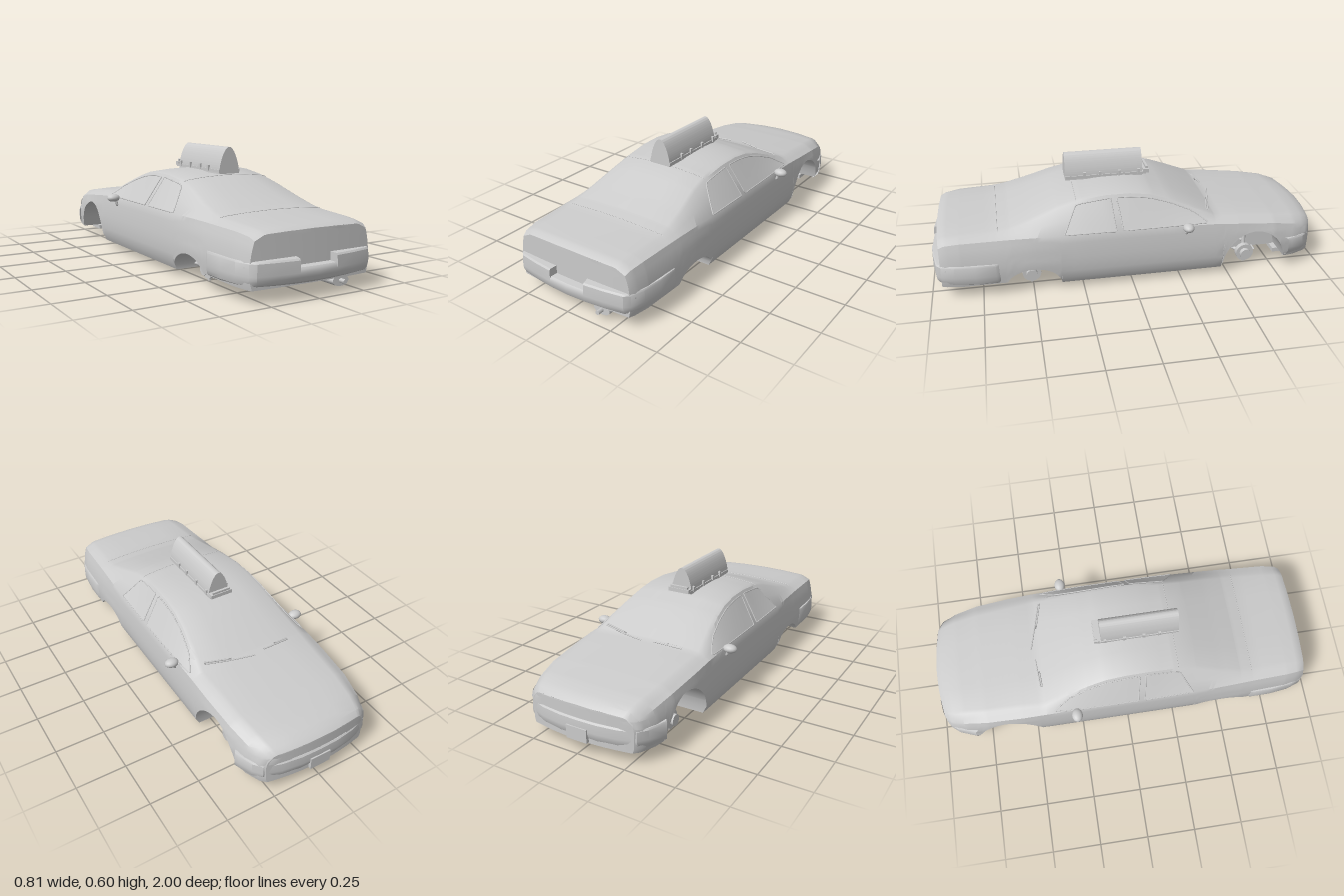
import * as THREE from 'three';
import { toCreasedNormals } from 'three/addons/utils/BufferGeometryUtils.js';

const grey = new THREE.MeshStandardMaterial({ color: 0xcccccc, side: THREE.DoubleSide });
const V = (x, y, z) => new THREE.Vector3(x, y, z);
const lerp = THREE.MathUtils.lerp;

// body stations: z, side half-width, belt x, belt y, roof-edge x, roof-edge y, top y
const stations = [
  [-0.955, .275, .265, .2, .24, .225, .24], [-0.93, .3, .285, .218, .25, .247, .26],
  [-0.86, .33, .31, .24, .265, .272, .282], [-0.74, .35, .33, .265, .28, .291, .3],
  [-0.55, .356, .34, .285, .29, .31, .322], [-0.43, .358, .342, .296, .3, .318, .335],
  [-0.3, .358, .343, .3, .277, .376, .396], [-0.2, .358, .343, .302, .26, .417, .438],
  [-0.1, .358, .343, .303, .25, .447, .468], [0, .358, .343, .303, .247, .46, .48],
  [0.12, .358, .343, .303, .245, .459, .478], [0.25, .358, .342, .303, .242, .442, .464],
  [0.36, .358, .34, .303, .25, .412, .437], [0.5, .358, .335, .303, .27, .362, .385],
  [0.6, .357, .33, .302, .28, .332, .35], [0.67, .355, .326, .3, .28, .32, .335],
  [0.85, .347, .318, .295, .27, .312, .322], [0.92, .333, .308, .285, .265, .304, .315],
  [0.945, .322, .3, .27, .255, .292, .3]];

function station(z) {
  let i = 0;
  while (i < stations.length - 2 && stations[i + 1][0] < z) i++;
  const a = stations[i], b = stations[i + 1];
  const t = THREE.MathUtils.clamp((z - a[0]) / (b[0] - a[0]), 0, 1);
  return a.map((v, k) => lerp(v, b[k], t));
}

// half-width of the body side at a height
function sideX(z, y) {
  const [, w, bx, by, ex, ey] = station(z);
  const p = [[w * .92, .035], [w * .985, .08], [w, .16], [lerp(w, bx, .4), lerp(.16, by, .6)], [bx, by], [ex, ey]];
  for (let i = 0; i < 5; i++) {
    if (y <= p[i + 1][1]) return lerp(p[i][0], p[i + 1][0], Math.max(0, (y - p[i][1]) / (p[i + 1][1] - p[i][1])));
  }
  return ex;
}

// lower edge of the body, raised over the wheels
const arches = [{ z: .5, r: .14, top: .14 }, { z: -.635, r: .17, top: .235 }];
function bottomY(z) {
  let y = z > .55 ? lerp(.08, .065, (z - .55) / .4) : z < -.7 ? .065 : .037;
  for (const a of arches) {
    const d = (z - a.z) / a.r;
    if (Math.abs(d) < 1) y = Math.max(y, .04 + (a.top - .04) * Math.sqrt(1 - d * d));
  }
  return y;
}

// bowed ends
function endZ(x, z) {
  const t = THREE.MathUtils.smoothstep(Math.abs(z), .75, .95);
  return z + Math.sign(z) * (z < 0 ? .03 : .012) * t * (1 - (x / station(z)[1]) ** 2);
}

function grid(rows) {
  const pos = [], idx = [], n = rows[0].length;
  rows.forEach(r => r.forEach(p => pos.push(p.x, p.y, p.z)));
  for (let i = 0; i < rows.length - 1; i++) for (let j = 0; j < n - 1; j++) {
    const a = i * n + j, b = a + n;
    idx.push(a, b, a + 1, b, b + 1, a + 1);
  }
  const g = new THREE.BufferGeometry();
  g.setAttribute('position', new THREE.Float32BufferAttribute(pos, 3));
  g.setIndex(idx);
  return toCreasedNormals(g, .55);
}

function halfSection(z) {
  const [, , bx, by, ex, ey, ty] = station(z), pts = [], y0 = bottomY(z);
  for (let j = 0; j <= 7; j++) {
    const y = lerp(y0, by, j / 7);
    pts.push([sideX(z, y), y]);
  }
  pts.push([lerp(bx, ex, .5), lerp(by, ey, .5)], [ex, ey], [ex * .93, lerp(ey, ty, .35)],
    [ex * .5, lerp(ey, ty, .8)], [0, ty]);
  return pts.map(([x, y]) => V(x, y, endZ(x, z)));
}
const flip = p => V(-p.x, p.y, p.z);

export function createModel() {
  const car = new THREE.Group();
  car.name = 'car';
  const add = (name, geo, x = 0, y = 0, z = 0) => {
    const m = new THREE.Mesh(geo, grey);
    m.name = name;
    m.position.set(x, y, z);
    car.add(m);
    return m;
  };
  const box = (name, w, h, d, x, y, z) => add(name, new THREE.BoxGeometry(w, h, d), x, y, z);
  const tube = (name, pts, r, seg = 24, closed = false) => add(name, new THREE.TubeGeometry(
    new THREE.CatmullRomCurve3(pts, closed, 'catmullrom', .2), seg, r, 8, closed));
  const disc = (name, r, w, x, y, z) => {
    const m = add(name, new THREE.CylinderGeometry(r, r, w, 20), x, y, z);
    m.rotation.z = Math.PI / 2;
  };

  // body shell, closed along the underside
  const zs = stations.map(s => s[0]);
  for (let z = -.9; z < .93; z += .06) zs.push(z);
  for (const a of arches) for (let k = 0; k <= 16; k++) zs.push(a.z - a.r * Math.cos(k / 16 * Math.PI));
  zs.sort((a, b) => a - b);
  const shell = zs.filter((z, i) => i === 0 || z - zs[i - 1] > 1e-4).map(z => {
    const h = halfSection(z), ring = [...h, ...h.slice(0, -1).reverse().map(flip)];
    return [...ring, h[0].clone()];
  });
  add('bodyShell', grid(shell));

  // nose and tail panels
  for (const [name, z] of [['nosePanel', -.955], ['tailPanel', .945]]) {
    add(name, grid(halfSection(z).map(p => Array.from({ length: 13 }, (_, k) => {
      const x = p.x * (k / 6 - 1);
      return V(x, p.y, endZ(x, z));
    }))));
  }

  // bumpers: an upright profile carried around a plan outline
  function bumper(name, plan, cz, y0, y1, notch) {
    const half = plan.map(([x, z]) => [x, z, y1]);
    if (notch) {
      const i = half.findIndex(p => p[0] === .1);
      half.splice(i + 1, 0, [.1, half[i][1], notch]);
      half[half.length - 1][2] = notch;
    }
    const all = [...half, ...half.slice(0, -1).reverse().map(([x, z, t]) => [-x, z, t])];
    add(name, grid(all.map(([x, z, t]) => [[.08, y0 - .018], [.02, y0], [.004, y0 + .02], [0, y0 + .04],
      [.004, t - .008], [.014, t], [.09, t + .004]].map(([s, y]) => V(x * (1 - s), y, lerp(z, cz, s))))));
  }
  bumper('rearBumper', [[.352, .66], [.361, .68], [.36, .78], [.348, .88], [.325, .945], [.3, .968], [.2, .985],
    [.1, .996], [0, 1]], .4, .085, .186, .147);
  bumper('frontBumper', [[.352, -.82], [.345, -.84], [.318, -.91], [.285, -.95], [.2, -.978],
    [.1, -.992], [0, -.995]], -.4, .085, .176);
  box('frontPlate', .11, .065, .06, 0, .103, -.97);
  box('frontUndertray', .48, .022, .11, 0, .052, -.835);
  box('rearValance', .6, .025, .2, 0, .075, .83);

  // rear window edge across the base and roof
  for (const z of [.66, .27]) {
    const h = halfSection(z).slice(9).map(p => p.add(V(0, .0005, 0)));
    tube('rearWindowSeal', [...h, ...h.slice(0, -1).reverse().map(flip)], .0015, 30);
  }

  for (const s of [1, -1]) {
    const side = s > 0 ? 'left' : 'right';
    // door windows and their seals: [bottom z, top z] at each end
    for (const [name, a, b] of [['RearWindow', [.34, .275], [.085, .1]], ['FrontWindow', [.05, .07], [-.385, -.3]]]) {
      const cols = [];
      for (let k = 0; k <= 12; k++) {
        const zb = lerp(a[0], b[0], k / 12), zt = lerp(a[1], b[1], k / 12), yt = station(zt)[5] - .014;
        cols.push([0, .25, .5, .75, 1].map(t => {
          const y = lerp(.306, yt, t), z = lerp(zb, zt, t);
          return V(s * (sideX(z, y) + .002), y, z);
        }));
      }
      add(side + name, grid(cols));
      const loop = [...cols.map(c => c[0]), ...cols[12].slice(1), ...cols.slice(0, 12).reverse().map(c => c[4]),
        ...cols[0].slice(1, 4).reverse()];
      tube(side + name + 'Seal', loop, .003, 70, true);
    }
    // door mirror on a short stalk
    const mirror = add(side + 'Mirror', new THREE.SphereGeometry(1, 16, 10), s * .37, .304, -.272);
    mirror.scale.set(.036, .021, .028);
    tube(side + 'MirrorStalk', [V(s * .335, .262, -.265), V(s * .352, .268, -.268), V(s * .36, .295, -.27)], .008, 8);

    // headlamp wrapped on the nose corner
    const lamp = [];
    for (let k = 0; k <= 8; k++) {
      const z = k < 4 ? -.957 : lerp(-.957, -.89, (k - 3) / 5);
      lamp.push([.18, .197, .214].map(y => {
        const x = k < 4 ? lerp(.15, sideX(z, y), k / 4) : sideX(z, y);
        return V(s * (x + .002), y, endZ(x, z) - .003);
      }));
    }
    add(side + 'Headlamp', grid(lamp));

    // wheel hubs
    for (const z of [.505, -.62]) {
      disc('brakeDisc', .047, .026, s * .24, .06, z);
      disc('wheelHub', .028, .05, s * .25, .06, z);
      box('brakeCaliper', .01, .02, .016, s * .24, .014, z);
      tube('damper', [V(s * .225, .07, z), V(s * .205, z > 0 ? .14 : .225, z)], .011, 4);
    }
    // suspension links
    tube('trailingArm', [V(s * .21, .06, .5), V(s * .23, .055, .34)], .009, 4);
    tube('upperLink', [V(s * .07, .075, .5), V(s * .17, .1, .37)], .007, 4);
    tube('frontLowerArm', [V(s * .23, .045, -.62), V(s * .1, .055, -.54)], .01, 4);
    tube('frontRadiusArm', [V(s * .23, .045, -.62), V(s * .1, .055, -.74)], .01, 4);
    tube('frontUpperArm', [V(s * .22, .105, -.62), V(s * .12, .12, -.6)], .008, 4);
    // inner wall of the front wheel housing
    const wall = add('frontInnerWall', new THREE.CircleGeometry(.168, 20, 0, Math.PI), s * .185, .06, -.635);
    wall.rotation.y = Math.PI / 2;

    // roof sign clamps
    for (const z of [-.08, .02, .12, .2]) box('signClamp', .012, .028, .014, s * .059, .492, z);
  }

  // axle, steering rod and exhaust
  tube('rearAxle', [V(-.23, .06, .505), V(.23, .06, .505)], .013, 4);
  const diff = add('differential', new THREE.SphereGeometry(.038, 14, 10), 0, .065, .505);
  diff.scale.set(1, .85, 1);
  tube('crossMember', [V(-.17, .055, -.58), V(0, .045, -.58), V(.17, .055, -.58)], .014, 10);
  tube('steeringRod', [V(-.22, .06, -.68), V(.22, .06, -.68)], .006, 4);
  tube('propShaft', [V(0, .045, -.42), V(0, .06, .48)], .012, 4);
  tube('exhaustPipe', [V(.09, .07, -.6), V(.1, .034, -.45), V(.05, .029, -.34), V(.05, .029, .2), V(.12, .03, .36),
    V(.15, .1, .46), V(.16, .1, .56), V(.16, .05, .7), V(.16, .05, .74)], .01, 60);
  const muffler = add('muffler', new THREE.CylinderGeometry(.045, .045, .23, 20), .16, .05, .835);
  muffler.rotation.x = Math.PI / 2;
  muffler.scale.z = .56;
  const tail = add('tailPipe', new THREE.CylinderGeometry(.011, .011, .05, 6), .16, .05, .955);
  tail.rotation.x = Math.PI / 2;

  // roof sign
  const arc = [[.058, .468], [.055, .5], [.048, .53], [.036, .562], [.022, .586], [.01, .597]];
  const outline = new THREE.Shape();
  outline.moveTo(.058, .468);
  outline.splineThru([...arc.slice(1), [0, .6], ...arc.slice().reverse().map(([x, y]) => [-x, y])]
    .map(([x, y]) => new THREE.Vector2(x, y)));
  add('roofSign', toCreasedNormals(new THREE.ExtrudeGeometry(outline,
    { depth: .4, bevelEnabled: false, curveSegments: 24 }), .5), 0, 0, -.1);
  box('signBase', .122, .014, .42, 0, .482, .09);
  box('signFrontBracket', .12, .02, .03, 0, .49, -.12);
  box('signFrontLip', .1, .012, .012, 0, .506, -.125);

  // windscreen wipers
  const wiper = (x0, z0, x1, z1) => {
    const at = (x, z) => V(x, lerp(station(z)[5], station(z)[6], 1 - Math.abs(x) / .3) + .008, z);
    tube('wiperArm', [at(x0, z0), at((x0 + x1) / 2, (z0 + z1) / 2), at(x1, z1)], .0035, 12);
    tube('wiperBlade', [at(lerp(x0, x1, .45), lerp(z0, z1, .45) + .008), at(x1, z1 + .008)], .004, 8);
  };
  wiper(-.05, -.45, -.2, -.44);
  wiper(.01, -.465, .26, -.4);
  return car;
}
